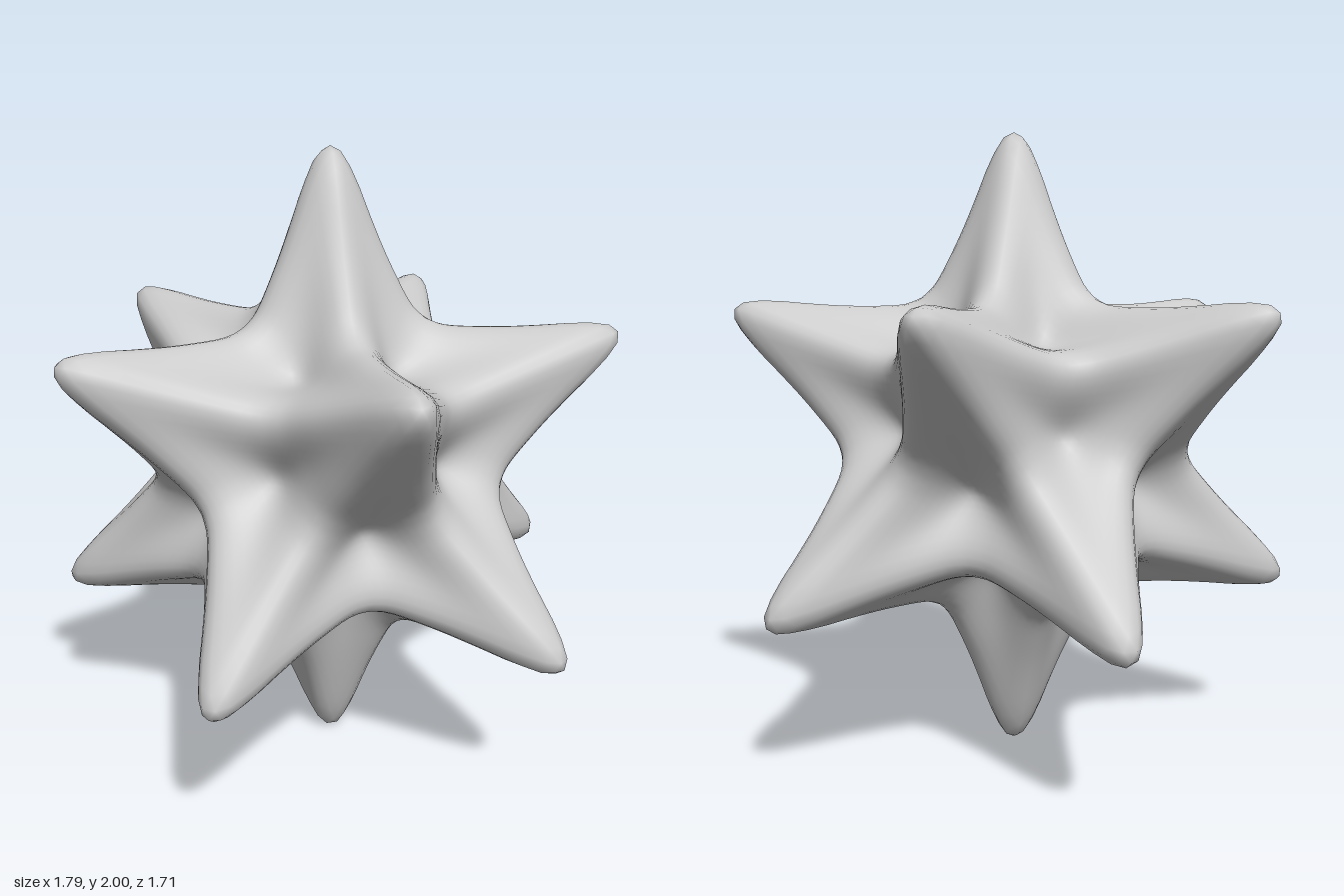
import * as THREE from 'three';
import { mergeVertices } from 'three/addons/utils/BufferGeometryUtils.js';

// Twelve spike directions: two poles and two staggered rings of five
function spikeDirections() {
  const dirs = [new THREE.Vector3(0, 1, 0), new THREE.Vector3(0, -1, 0)];
  const h = 1 / Math.sqrt(5), ring = 2 * h;
  for (let i = 0; i < 5; i++) {
    const a = (i / 5) * Math.PI * 2;
    dirs.push(new THREE.Vector3(-ring * Math.cos(a), h, ring * Math.sin(a)));
    dirs.push(new THREE.Vector3(ring * Math.cos(a), -h, ring * Math.sin(a)));
  }
  return dirs;
}

// Radius by angle (degrees) from a spike's axis: [along a ridge, along a hollow]
const angles = [0, 2, 5, 8.5, 13, 19.5, 26, 31.7, 38];
const radii = [
  1, 1, 0.982, 0.982, 0.905, 0.895, 0.81, 0.79, 0.72, 0.685,
  0.635, 0.575, 0.582, 0.5, 0.567, 0.455, 0.56, 0.43,
];

function starGeometry() {
  // Sphere turned so one vertex lies under each spike
  let geo = new THREE.IcosahedronGeometry(1, 27);
  geo.rotateX(-Math.atan2((1 + Math.sqrt(5)) / 2, 1));
  geo.rotateY(-Math.PI / 2);
  geo.deleteAttribute('normal');
  geo.deleteAttribute('uv');
  geo = mergeVertices(geo, 1e-4);

  const dirs = spikeDirections();
  const profile = new THREE.CubicInterpolant(angles, radii, 2, new Float32Array(2));
  const pos = geo.attributes.position;
  const p = new THREE.Vector3(), side = new THREE.Vector3(), ridge = new THREE.Vector3();

  for (let i = 0; i < pos.count; i++) {
    p.fromBufferAttribute(pos, i).normalize();
    const [axis, next] = [...dirs].sort((a, b) => b.dot(p) - a.dot(p));
    const theta = THREE.MathUtils.radToDeg(axis.angleTo(p));

    // Turn around the spike, measured from the ridge to its neighbour
    side.copy(p).projectOnPlane(axis);
    ridge.copy(next).projectOnPlane(axis);
    const phi = side.length() > 1e-4 ? side.angleTo(ridge) : 0;
    const hollow = (1 - Math.cos(5 * phi)) / 2;

    const [r0, r1] = profile.evaluate(Math.min(theta, 37.9));
    p.multiplyScalar(THREE.MathUtils.lerp(r0, r1, hollow));
    pos.setXYZ(i, p.x, p.y + 1, p.z);
  }
  geo.computeVertexNormals();
  return geo;
}

export function createModel() {
  const group = new THREE.Group();
  group.name = 'spikyStar';
  const star = new THREE.Mesh(
    starGeometry(),
    new THREE.MeshStandardMaterial({ color: 0xcccccc })
  );
  star.name = 'twelvePointedBody';
  group.add(star);
  return group;
}
